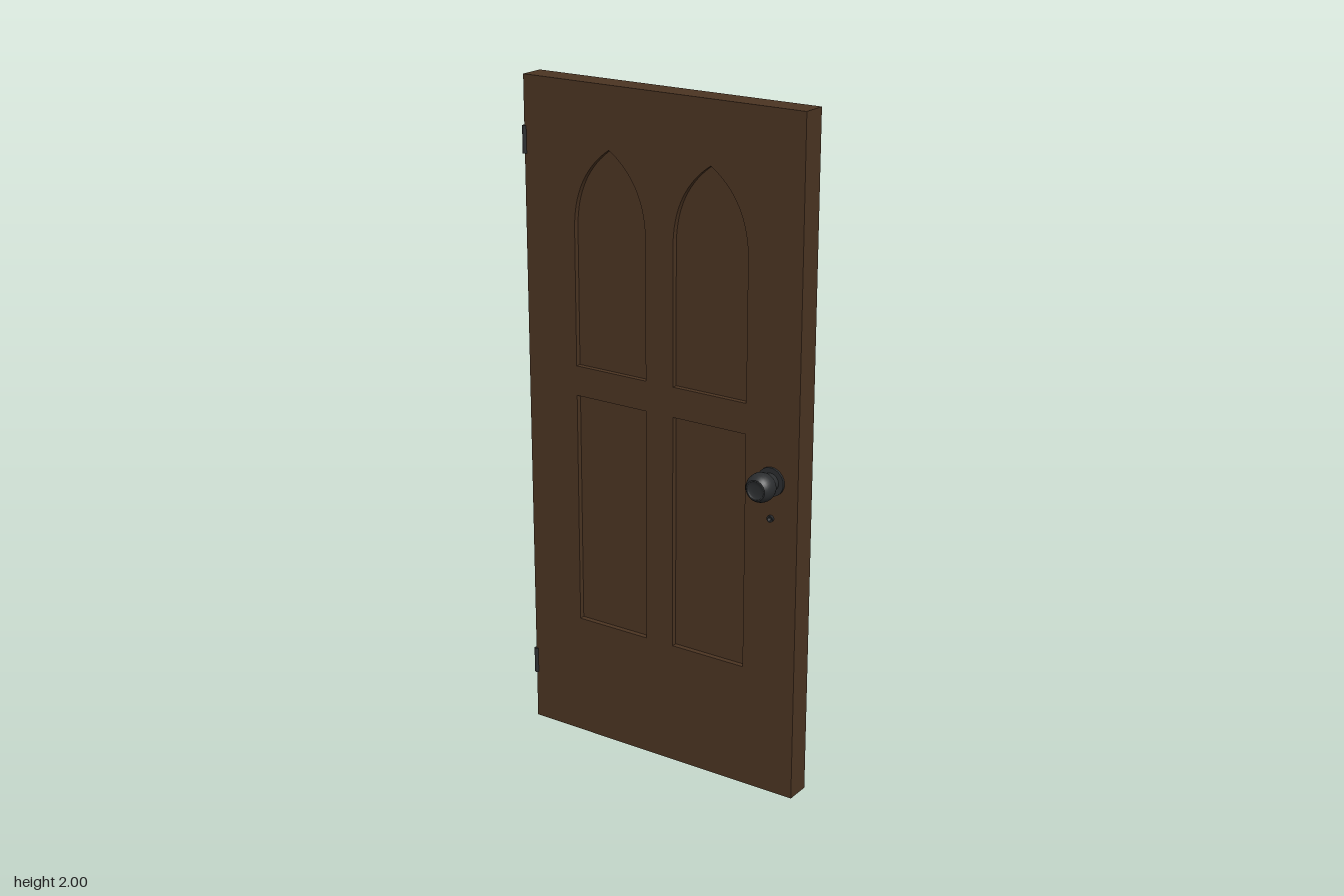
import * as THREE from 'three';

const wood = new THREE.MeshStandardMaterial({ color: 0x4b3422 });
wood.name = 'dark wood';
const iron = new THREE.MeshStandardMaterial({ color: 0x2b2d2f });
iron.name = 'dark iron';

const CX = 0.0015, HALF_W = 0.4585, HEIGHT = 2;
const Z_BACK = -0.039, Z_FRONT = 0.037, RECESS = 0.016;
const PANEL_HALF = 0.121, PANEL_X = 0.167;
const KNOB_X = 0.375, KNOB_Y = 0.965, KEY_Y = 0.855;

// Outline of a panel: square-topped, or with a pointed arch above the spring line
function outlinePanel(path, x, bottom, top, apex) {
  path.moveTo(x - PANEL_HALF, bottom);
  path.lineTo(x + PANEL_HALF, bottom);
  path.lineTo(x + PANEL_HALF, top);
  if (apex) {
    const c = top + (apex - top) * 0.66;
    path.quadraticCurveTo(x + PANEL_HALF, c, x, apex);
    path.quadraticCurveTo(x - PANEL_HALF, c, x - PANEL_HALF, top);
  } else {
    path.lineTo(x - PANEL_HALF, top);
  }
  path.closePath();
  return path;
}

function extrude(name, shape, z0, z1) {
  const geo = new THREE.ExtrudeGeometry(shape, { depth: z1 - z0, bevelEnabled: false, curveSegments: 16 });
  geo.translate(0, 0, z0);
  const mesh = new THREE.Mesh(geo, wood);
  mesh.name = name;
  return mesh;
}

// Turned part along +z; corners are kept sharp by lathing each run separately
function turned(name, runs) {
  const group = new THREE.Group();
  group.name = name;
  runs.forEach((run, i) => {
    const geo = new THREE.LatheGeometry(run.map(([r, z]) => new THREE.Vector2(r, z)), 32);
    geo.rotateX(Math.PI / 2);
    const mesh = new THREE.Mesh(geo, iron);
    mesh.name = `${name}Section${i + 1}`;
    group.add(mesh);
  });
  return group;
}

// Rose, neck and rounded knob with a dished end, for one face of the door
function createHandle(side) {
  const handle = new THREE.Group();
  handle.name = side + 'Handle';

  const rose = turned('rose', [
    [[0.042, 0], [0.042, 0.007]],
    [[0.042, 0.007], [0, 0.007]],
  ]);
  const neck = turned('neck', [[[0.027, 0.006], [0.027, 0.032]]]);
  const knob = turned('knob', [
    [[0.027, 0.028], [0.034, 0.031], [0.039, 0.038], [0.042, 0.048], [0.042, 0.058],
      [0.040, 0.068], [0.036, 0.077], [0.030, 0.084]],
    [[0.030, 0.084], [0.026, 0.084]],
    [[0.026, 0.084], [0.022, 0.081], [0.012, 0.079], [0, 0.079]],
  ]);
  for (const part of [rose, neck, knob]) {
    part.position.set(KNOB_X, KNOB_Y, 0);
    handle.add(part);
  }

  const key = turned('keyhole', [
    [[0.01, 0], [0.01, 0.007]],
    [[0.01, 0.007], [0.006, 0.007]],
    [[0.006, 0.007], [0.004, 0.003], [0, 0.003]],
  ]);
  key.position.set(KNOB_X, KEY_Y, 0);
  handle.add(key);
  return handle;
}

export function createModel() {
  const door = new THREE.Group();
  door.name = 'door';

  // Frame with four openings, each filled by a thinner panel
  const frame = new THREE.Shape();
  frame.moveTo(CX - HALF_W, 0);
  frame.lineTo(CX + HALF_W, 0);
  frame.lineTo(CX + HALF_W, HEIGHT);
  frame.lineTo(CX - HALF_W, HEIGHT);
  frame.closePath();

  for (const s of [-1, 1]) {
    const x = CX + s * PANEL_X;
    const sideName = s > 0 ? 'left' : 'right';
    const panels = [
      ['LowerPanel', 0.375, 1.085, 0],
      ['ArchedPanel', 1.175, 1.58, 1.82],
    ];
    for (const [name, bottom, top, apex] of panels) {
      frame.holes.push(outlinePanel(new THREE.Path(), x, bottom, top, apex));
      const shape = outlinePanel(new THREE.Shape(), x, bottom, top, apex);
      door.add(extrude(sideName + name, shape, Z_BACK + RECESS, Z_FRONT - RECESS));
    }
  }
  door.add(extrude('frame', frame, Z_BACK, Z_FRONT));

  // Handles on both faces
  const front = createHandle('front');
  front.position.z = Z_FRONT;
  door.add(front);
  const back = createHandle('back');
  back.rotation.y = Math.PI;
  back.position.set(2 * KNOB_X, 0, Z_BACK);
  door.add(back);

  // Hinge barrels on the front corner
  for (const [name, y] of [['lowerHinge', 0.19], ['upperHinge', 1.815]]) {
    const hinge = new THREE.Mesh(new THREE.CylinderGeometry(0.0065, 0.0065, 0.08, 16), iron);
    hinge.name = name;
    hinge.position.set(CX - HALF_W, y, Z_FRONT);
    door.add(hinge);
  }
  return door;
}
